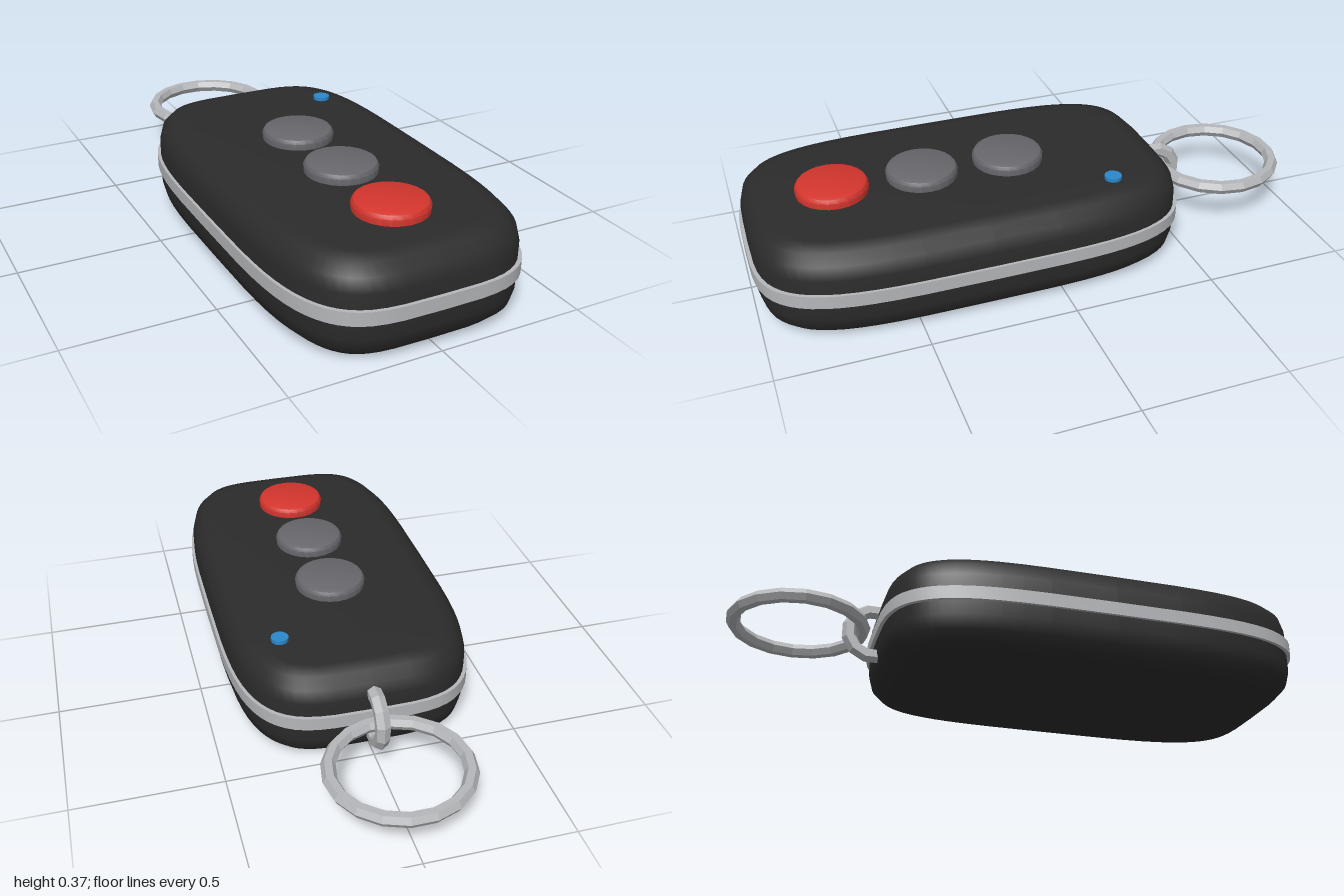
import * as THREE from 'three';
import { toCreasedNormals } from 'three/addons/utils/BufferGeometryUtils.js';

const mat = (name, color, extra = {}) => {
  const m = new THREE.MeshStandardMaterial({ color, ...extra });
  m.name = name;
  return m;
};

// Soft rounded-rectangle outline (superellipse)
function outline(a, b, n = 4, count = 64) {
  const pts = [];
  for (let i = 0; i < count; i++) {
    const t = (i / count) * Math.PI * 2;
    const c = Math.cos(t), s = Math.sin(t);
    pts.push(new THREE.Vector2(
      a * Math.sign(c) * Math.abs(c) ** (2 / n),
      b * Math.sign(s) * Math.abs(s) ** (2 / n)));
  }
  return new THREE.Shape(pts);
}

// Upright slab of the outline, from y0 to y1, with an optional rounded rim
function slab(a, b, y0, y1, bevel) {
  const g = new THREE.ExtrudeGeometry(outline(a, b), {
    depth: y1 - y0 - 2 * bevel,
    bevelEnabled: bevel > 0,
    bevelThickness: bevel,
    bevelSize: bevel,
    bevelOffset: -bevel,
    bevelSegments: 3,
  });
  g.rotateX(-Math.PI / 2);
  g.translate(0, y0 + bevel, 0);
  return toCreasedNormals(g, 0.7);
}

export function createModel() {
  const group = new THREE.Group();
  const black = mat('blackPlastic', 0x2b2b2b);
  const metal = mat('silverMetal', 0xb4b6b9, { flatShading: true });
  const trim = mat('silverTrim', 0xb4b6b9);
  const grey = mat('greyRubber', 0x66666b);
  const red = mat('redRubber', 0xd3352d);
  const blue = mat('blueLight', 0x2a88cc);

  const add = (name, geo, material, x = 0, y = 0, z = 0) => {
    const m = new THREE.Mesh(geo, material);
    m.name = name;
    m.position.set(x, y, z);
    group.add(m);
    return m;
  };

  // Case and the band around its middle
  add('case', slab(0.414, 0.738, 0, 0.325, 0.088), black, 0, 0, 0.25);
  add('trimBand', slab(0.424, 0.75, 0.141, 0.187, 0), trim, 0, 0, 0.25);

  // Domed-edge push buttons
  const profile = [[0.122, -0.01], [0.124, 0.022], [0.117, 0.034], [0.102, 0.04], [0, 0.04]]
    .map(([r, y]) => new THREE.Vector2(r, y));
  const buttonGeo = toCreasedNormals(new THREE.LatheGeometry(profile, 24), 0.6);
  add('upperButton', buttonGeo, grey, 0, 0.325, 0.07);
  add('middleButton', buttonGeo, grey, 0, 0.325, 0.38);
  add('alarmButton', buttonGeo, red, 0, 0.325, 0.69);

  // Indicator light
  add('indicatorLight', new THREE.CylinderGeometry(0.03, 0.03, 0.02, 12), blue, 0.25, 0.328, -0.225);

  // Upright loop on the back edge
  const loopGeo = new THREE.TorusGeometry(0.086, 0.026, 6, 12);
  loopGeo.rotateZ(Math.PI / 12);
  loopGeo.rotateY(Math.PI / 2);
  add('keyLoop', loopGeo, metal, 0, 0.165, -0.5);

  // Flat key ring
  const ringGeo = new THREE.TorusGeometry(0.22, 0.024, 6, 18);
  ringGeo.rotateX(Math.PI / 2);
  add('keyRing', ringGeo, metal, 0, 0.165, -0.757);

  return group;
}
